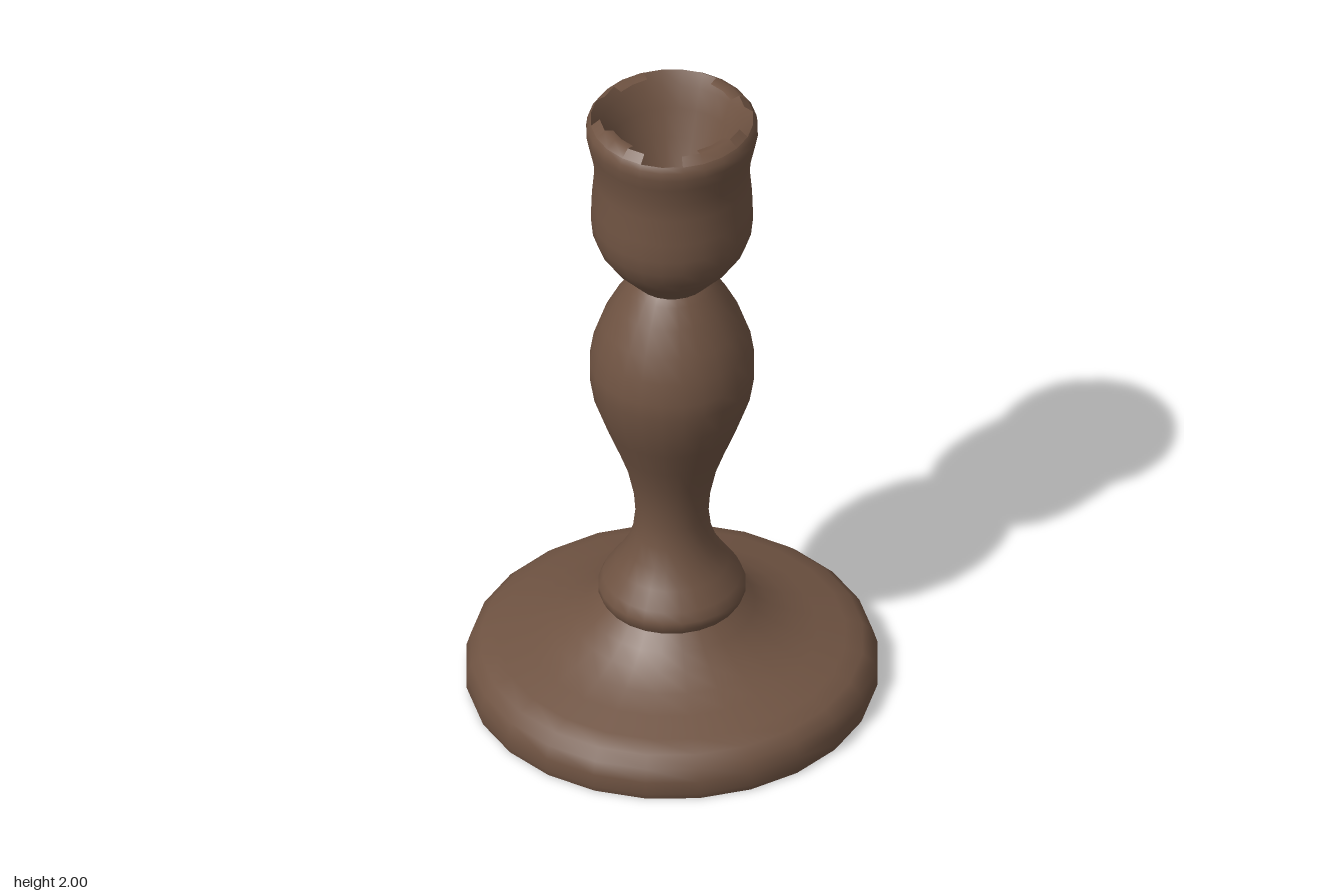
import * as THREE from 'three';

const SIDES = 24;

export function createModel() {
  const model = new THREE.Group();
  model.name = 'candlestick';
  const wood = new THREE.MeshStandardMaterial({ color: 0x6f5342 });
  wood.name = 'brown wood';

  // Turned part from [radius, height] pairs
  function turned(name, profile, parent = model, segments = SIDES, start = 0, arc = Math.PI * 2) {
    const points = profile.map(([r, y]) => new THREE.Vector2(r, y));
    const mesh = new THREE.Mesh(new THREE.LatheGeometry(points, segments, start, arc), wood);
    mesh.name = name;
    parent.add(mesh);
    return mesh;
  }

  // Foot: flat underside and a flared top
  turned('underside', [[0, 0], [0.575, 0]]);
  turned('base', [
    [0.575, 0], [0.582, 0.02], [0.582, 0.06], [0.57, 0.1], [0.54, 0.128], [0.49, 0.147],
    [0.41, 0.168], [0.34, 0.193], [0.28, 0.225], [0.235, 0.26], [0.19, 0.305],
  ]);

  // Collar and swelling stem
  turned('collarUnderside', [[0.18, 0.3], [0.198, 0.3]]);
  turned('stem', [
    [0.198, 0.3], [0.208, 0.32], [0.208, 0.34], [0.195, 0.37], [0.16, 0.42], [0.13, 0.47],
    [0.11, 0.53], [0.103, 0.59], [0.108, 0.66], [0.125, 0.74], [0.157, 0.83], [0.192, 0.92],
    [0.22, 1.0], [0.233, 1.08], [0.233, 1.13], [0.222, 1.2], [0.198, 1.27], [0.16, 1.345],
    [0.125, 1.4], [0.108, 1.42],
  ]);

  // Candle cup
  turned('cup', [
    [0.108, 1.42], [0.13, 1.445], [0.175, 1.495], [0.205, 1.54], [0.224, 1.59], [0.229, 1.64],
    [0.227, 1.7], [0.22, 1.78], [0.222, 1.84], [0.235, 1.9], [0.243, 1.94], [0.24, 1.965],
    [0.23, 1.98],
  ]);

  // Funnel inside the cup, socket wall and floor
  turned('funnel', [[0.23, 1.98], [0.205, 1.94], [0.18, 1.88], [0.15, 1.8], [0.115, 1.72]]);
  turned('socketWall', [[0.115, 1.72], [0.107, 1.71], [0.107, 1.6]]);
  turned('socketFloor', [[0.107, 1.6], [0, 1.6]]);

  // Stepped lip: each sector reaches a different distance inward
  const lip = new THREE.Group();
  lip.name = 'lip';
  model.add(lip);
  const lipProfile = [[0.23, 1.98], [0.205, 2], [0.18, 1.993]];
  const reach = [3, 2, 0, 0, 2, 3];
  const step = (Math.PI * 2) / SIDES;
  for (let i = 0; i < SIDES; i++) {
    const count = reach[i % 6];
    if (count) turned('lipSector', lipProfile.slice(0, count), lip, 1, i * step, step);
  }

  // The turning is very slightly deeper than wide
  model.scale.z = 1.01;
  return model;
}
